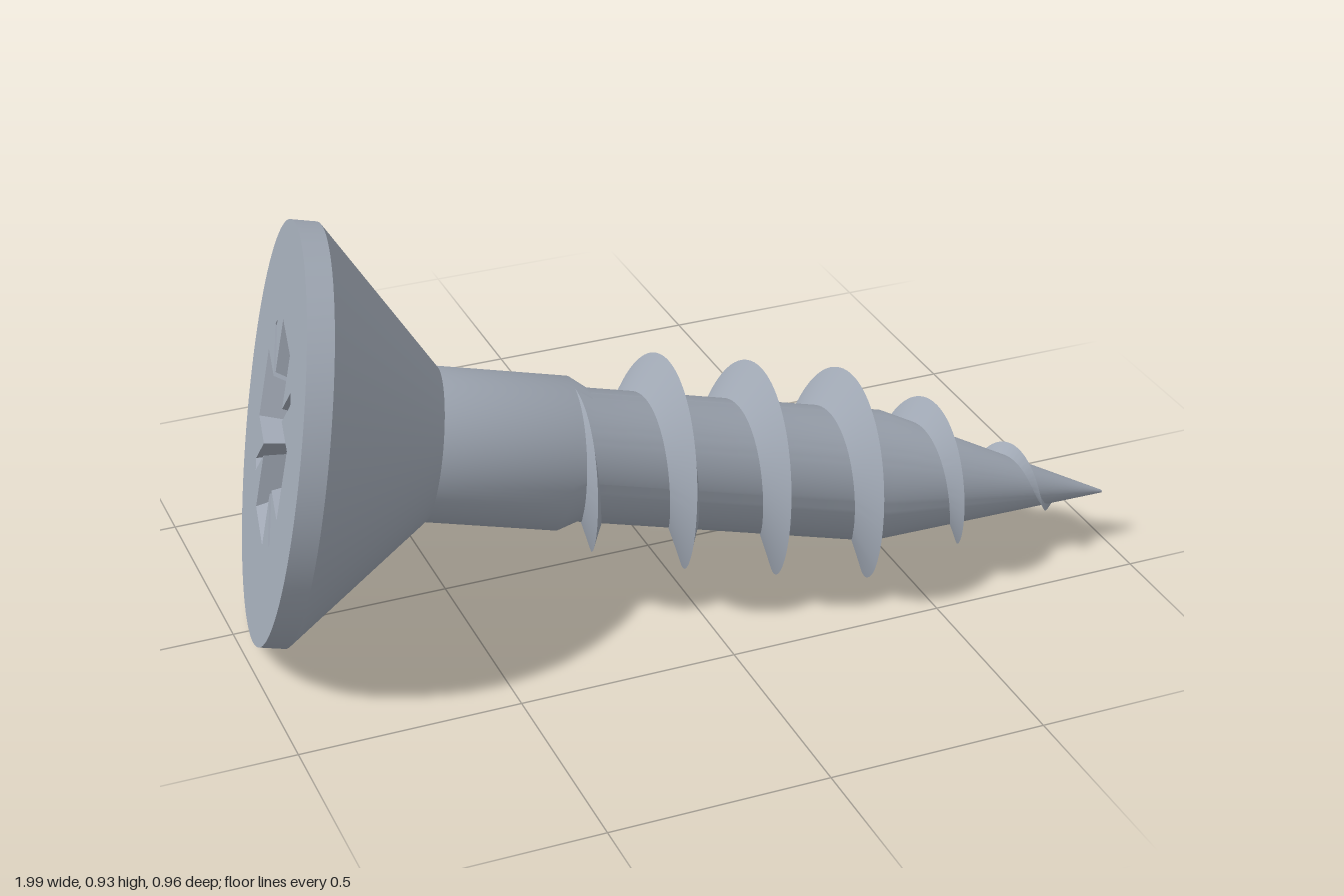
import * as THREE from 'three';
import { toCreasedNormals } from 'three/addons/utils/BufferGeometryUtils.js';

const HEAD_RADIUS = 0.467;
const TIP = 1.94;
const lerp = THREE.MathUtils.mapLinear;

// Core and thread crest radii at distance s along the axis from the head face
const coreRadius = s => (s < 1.38 ? 0.15 : lerp(s, 1.38, TIP, 0.15, 0.003));
function crestRadius(s) {
  if (s < 0.78) return lerp(s, 0.63, 0.78, 0.165, 0.238);
  return s < 1.36 ? 0.24 : lerp(s, 1.36, 1.92, 0.24, 0.004);
}

// Head cone, shank and tapered core, turned about the local x axis
function bodyGeometry() {
  const profile = [
    [HEAD_RADIUS, 0], [HEAD_RADIUS, 0.058], [0.173, 0.347], [0.173, 0.645],
    [0.15, 0.69], [0.15, 1.38], [0.003, TIP - 0.002], [0, TIP],
  ].map(([r, s]) => new THREE.Vector2(r, s));
  return toCreasedNormals(new THREE.LatheGeometry(profile, 96).rotateZ(-Math.PI / 2), 0.5);
}

// Right-handed helical ridge with a sharp crest
function threadGeometry() {
  const start = 0.63, end = 1.88, pitch = 0.2145, steps = 480;
  const pos = [], index = [];
  for (let i = 0; i <= steps; i++) {
    const s = lerp(i, 0, steps, start, end);
    const phi = (s - 0.857) / pitch * Math.PI * 2;
    const core = coreRadius(s), crest = crestRadius(s);
    const k = THREE.MathUtils.clamp((crest - core) / 0.09, 0.1, 1);
    const section = [[s - 0.045 * k, core - 0.004], [s, crest], [s + 0.025 * k, core - 0.004]];
    for (const [x, r] of section) {
      const radius = Math.max(r, 0.001);
      pos.push(x, radius * Math.cos(phi), radius * Math.sin(phi));
    }
    if (i === steps) continue;
    for (let j = 0; j < 2; j++) {
      const a = i * 3 + j, b = a + 1, c = a + 3, d = a + 4;
      index.push(a, c, b, b, c, d);
    }
  }
  const g = new THREE.BufferGeometry();
  g.setAttribute('position', new THREE.Float32BufferAttribute(pos, 3));
  g.setIndex(index);
  return toCreasedNormals(g, 0.6);
}

// Cross outline with a thin diagonal slot between each pair of arms
function recessOutline(scale = 1) {
  const L = 0.235, a = 0.085, t = 0.02, e = 0.18, h = t / 2;
  const quarter = [[L, -a], [L, a], [a + t, a], [e + h, e - h], [e - h, e + h], [a, a + t]];
  const points = [];
  for (let q = 0; q < 4; q++) {
    for (const [x, y] of quarter) {
      points.push(new THREE.Vector2(x * scale, y * scale)
        .rotateAround(new THREE.Vector2(), q * Math.PI / 2));
    }
  }
  return points;
}

// Tapering side walls of the drive recess
function recessWalls(top, bottom, depth) {
  const pos = [];
  top.forEach((p, i) => {
    const n = (i + 1) % top.length;
    const q = top[n], pd = bottom[i], qd = bottom[n];
    pos.push(p.x, p.y, 0, q.x, q.y, 0, pd.x, pd.y, -depth);
    pos.push(q.x, q.y, 0, qd.x, qd.y, -depth, pd.x, pd.y, -depth);
  });
  const g = new THREE.BufferGeometry();
  g.setAttribute('position', new THREE.Float32BufferAttribute(pos, 3));
  g.computeVertexNormals();
  return g;
}

export function createModel() {
  const model = new THREE.Group();
  model.name = 'woodScrew';
  const steel = new THREE.MeshStandardMaterial({ color: 0xa0a8b4 });
  steel.name = 'steel grey';

  const add = (name, geometry) => {
    const mesh = new THREE.Mesh(geometry, steel);
    mesh.name = name;
    screw.add(mesh);
  };

  // Local x runs from the head face to the tip
  const screw = new THREE.Group();
  screw.name = 'screw';
  const axis = new THREE.Vector3(0.963, -0.182, 0.201).normalize();
  const up = new THREE.Vector3(0, 1, 0).addScaledVector(axis, -axis.y).normalize();
  const side = new THREE.Vector3().crossVectors(axis, up);
  screw.quaternion.setFromRotationMatrix(new THREE.Matrix4().makeBasis(axis, up, side));
  screw.position.set(-0.874, 0.475, -0.025);
  model.add(screw);

  add('body', bodyGeometry());
  add('thread', threadGeometry());

  // Flat head face with the drive recess sunk into it
  const depth = 0.2;
  const top = recessOutline(), bottom = recessOutline(0.45);
  const disc = new THREE.Shape().absarc(0, 0, HEAD_RADIUS, 0, Math.PI * 2);
  disc.holes.push(new THREE.Path(top));
  const turn = g => g.rotateY(-Math.PI / 2);
  add('headFace', turn(new THREE.ShapeGeometry(disc, 96)));
  add('recessWalls', turn(recessWalls(top, bottom, depth)));
  add('recessFloor', turn(new THREE.ShapeGeometry(new THREE.Shape(bottom)).translate(0, 0, -depth)));

  return model;
}
